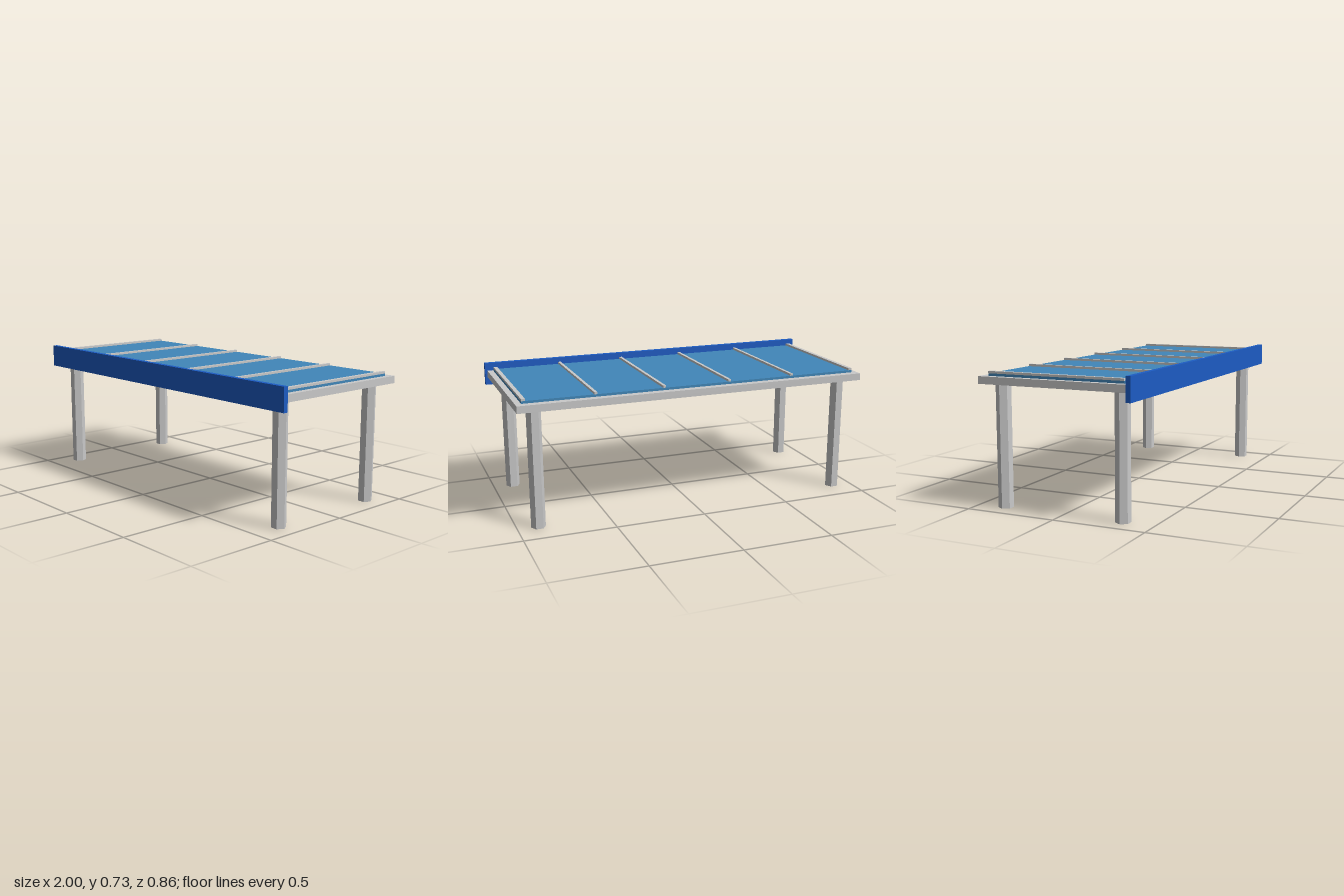
import * as THREE from 'three';

export function createModel() {
  const model = new THREE.Group();
  model.name = 'canopy';

  const sheet = { flatShading: true, side: THREE.DoubleSide };
  const metal = new THREE.MeshStandardMaterial({ color: 0xcacaca, ...sheet });
  metal.name = 'grey metal';
  const glass = new THREE.MeshStandardMaterial({ color: 0x4187b9, ...sheet });
  glass.name = 'blue glass';
  const paint = new THREE.MeshStandardMaterial({ color: 0x1c5cc4, ...sheet });
  paint.name = 'blue paint';

  // Box from its limits on each axis; open sides are numbered +x, -x, +y, -y, +z, -z
  function box(name, material, [x0, x1], [y0, y1], [z0, z1], open = []) {
    const geometry = new THREE.BoxGeometry(x1 - x0, y1 - y0, z1 - z0);
    const index = Array.from(geometry.index.array);
    geometry.setIndex(index.filter((_, i) => !open.includes(Math.floor(i / 6))));
    geometry.clearGroups();
    const mesh = new THREE.Mesh(geometry, material);
    mesh.position.set((x0 + x1) / 2, (y0 + y1) / 2, (z0 + z1) / 2);
    mesh.name = name;
    model.add(mesh);
  }
  const BOTTOM = 3, FRONT = 4;

  // Sheet roof with a turned-down rim, closed at the front by the fascia
  box('roofFrame', metal, [-0.987, 0.987], [0.651, 0.69], [-0.428, 0.402], [BOTTOM, FRONT]);
  box('fascia', paint, [-1, 1], [0.607, 0.733], [0.402, 0.428], [BOTTOM]);

  // Glazing laid on the roof
  box('roofGlass', glass, [-0.955, 0.955], [0.69, 0.703], [-0.387, 0.373], [BOTTOM]);

  // Glazing bars dividing the roof into five panes, wider at both ends
  for (let i = 0; i <= 5; i++) {
    const x = -0.945 + i * 0.378;
    const half = i % 5 === 0 ? 0.0105 : 0.008;
    box('glazingBar', metal, [x - half, x + half], [0.703, 0.715], [-0.387, 0.373], [BOTTOM]);
  }

  // Hollow hexagonal posts, open at the foot
  const postGeometry = new THREE.CylinderGeometry(0.0395, 0.0395, 0.69, 6, 1, true, Math.PI / 6);
  for (const x of [-0.887, 0.887]) {
    for (const z of [-0.344, 0.332]) {
      const post = new THREE.Mesh(postGeometry, metal);
      post.position.set(x, 0.345, z);
      post.name = 'post';
      model.add(post);
    }
  }

  return model;
}
